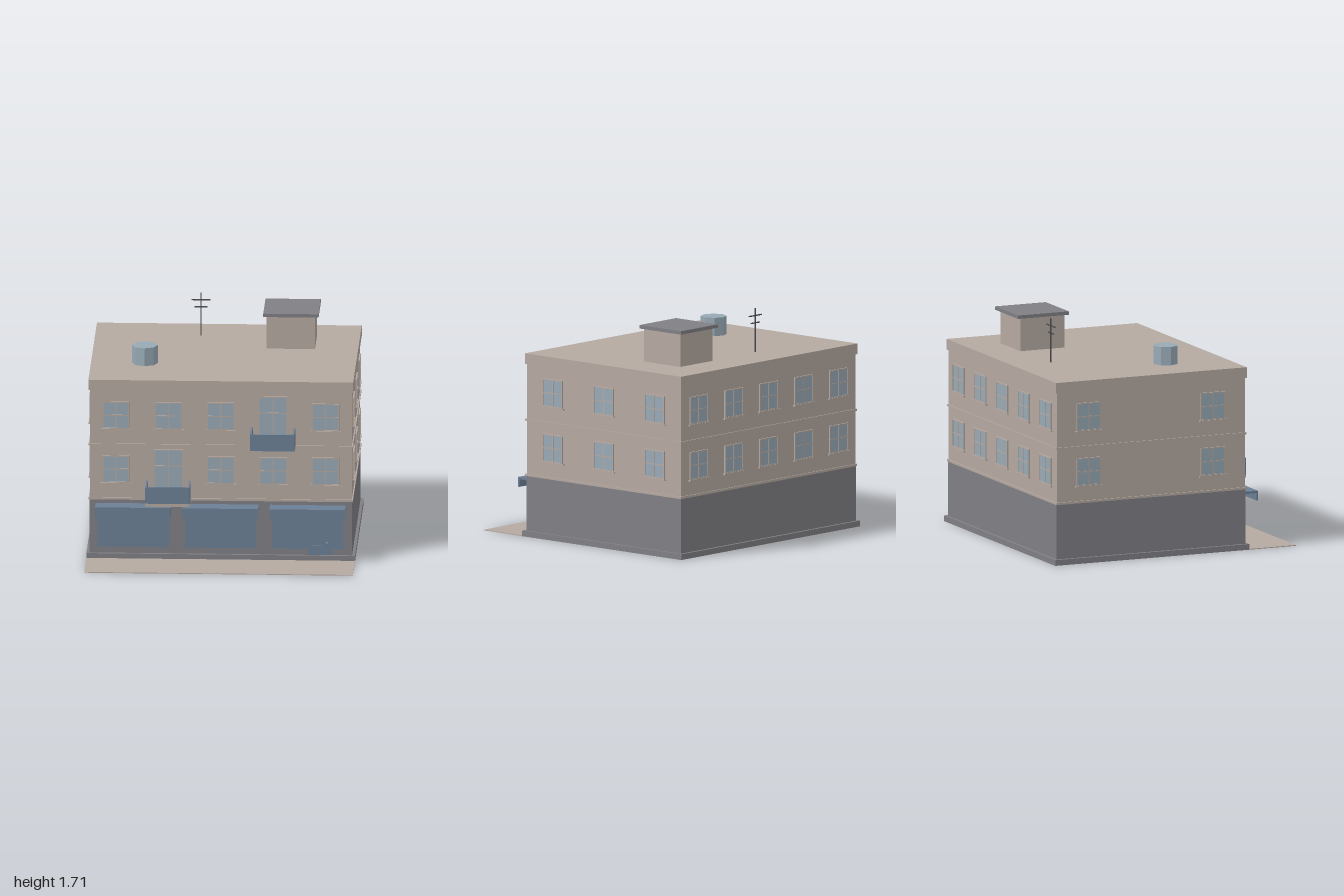
import * as THREE from 'three';

const mat = (name, color, side = THREE.FrontSide) => {
  const m = new THREE.MeshStandardMaterial({ color, side });
  m.name = name;
  return m;
};

export function createModel() {
  const plaster = mat('plaster', 0xb5a9a1);
  const stone = mat('grey stone', 0x807f84);
  const blue = mat('painted blue', 0x6b7f95);
  const glass = mat('pale blue glass', 0x98a9b5);
  const metal = mat('dark metal', 0x4b4b4e);

  const model = new THREE.Group();
  model.name = 'cornerBuilding';

  // Box given by its minimum and maximum on each axis
  const box = (name, material, [x0, x1], [y0, y1], [z0, z1], parent = model) => {
    const mesh = new THREE.Mesh(new THREE.BoxGeometry(x1 - x0, y1 - y0, z1 - z0), material);
    mesh.position.set((x0 + x1) / 2, (y0 + y1) / 2, (z0 + z1) / 2);
    mesh.name = name;
    parent.add(mesh);
    return mesh;
  };

  const FRONT = 0.578, BACK = -0.958, SIDE = 0.975;

  // Storey block that overhangs the walls by a given amount
  const storey = (name, material, y0, y1, out) =>
    box(name, material, [-SIDE - out, SIDE + out], [y0, y1], [BACK - out, FRONT + out]);

  // Main body
  storey('plinth', stone, 0, 0.043, 0.025);
  storey('groundFloor', stone, 0.043, 0.455, 0.003);
  storey('upperFloors', plaster, 0.455, 1.3, 0);
  storey('lowerBelt', plaster, 0.455, 0.472, 0.009);
  storey('upperBelt', plaster, 0.872, 0.887, 0.009);
  storey('parapet', plaster, 1.3, 1.38, 0.011);
  box('pavement', plaster, [-1, 1], [0, 0.006], [0.603, 0.985]);

  // Window or balcony door facing +z, its base at the group's origin
  const makeWindow = (name, w, h, barY, hasSill) => {
    const g = new THREE.Group();
    g.name = name;
    const r = w / 2, f = 0.008;
    box('pane', glass, [-r + f, r - f], [f, h - f], [-0.002, 0.006], g);
    for (const s of [-1, 1]) {
      const c = s * (r - f / 2);
      box('frameSide', plaster, [c - f / 2, c + f / 2], [0, h], [-0.002, 0.011], g);
    }
    for (const y of [0, h - f]) box('frameRail', plaster, [-r + f, r - f], [y, y + f], [-0.002, 0.011], g);
    box('upright', plaster, [-0.004, 0.004], [f, h - f], [-0.002, 0.009], g);
    box('crossBar', plaster, [-r + f, r - f], [barY - 0.004, barY + 0.004], [-0.002, 0.009], g);
    if (hasSill) box('sill', plaster, [-r - 0.011, r + 0.011], [-0.01, 0.001], [-0.002, 0.016], g);
    model.add(g);
    return g;
  };

  const columns = [-0.78, -0.39, 0, 0.39, 0.78];
  const floors = [0.585, 1.002];
  const doorColumn = [1, 3];
  floors.forEach((y, floor) => {
    columns.forEach((x, i) => {
      if (i !== doorColumn[floor]) makeWindow('frontWindow', 0.204, 0.21, 0.105, true).position.set(x, y, FRONT);
      const back = makeWindow('backWindow', 0.204, 0.21, 0.105, true);
      back.position.set(x, y, BACK);
      back.rotation.y = Math.PI;
    });
    for (const side of [-1, 1]) {
      for (const z of side > 0 ? [0.314, -0.193, -0.7] : [0.314, -0.7]) {
        const w = makeWindow(side > 0 ? 'leftWindow' : 'rightWindow', 0.196, 0.21, 0.105, true);
        w.position.set(side * SIDE, y, z);
        w.rotation.y = side * Math.PI / 2;
      }
    }

    // Balcony with its door
    const x = columns[doorColumn[floor]], base = 0.457 + floor * 0.416;
    makeWindow('balconyDoor', 0.216, 0.368, 0.24, false).position.set(x, base + 0.023, FRONT);
    const b = new THREE.Group();
    b.name = 'balcony';
    b.position.set(x, base, 0);
    model.add(b);
    const r = 0.166, t = 0.014, end = 0.778, rail = [0.023, 0.15];
    box('balconySlab', plaster, [-r, r], [0, 0.023], [FRONT, end], b);
    box('balconyFront', blue, [-r, r], rail, [end - t, end], b);
    box('balconySide', blue, [-r, -r + t], rail, [FRONT, end - t], b);
    box('balconySide', blue, [r - t, r], rail, [FRONT, end - t], b);
  });
  box('balconyBox', glass, [-0.328, -0.262], [0.48, 0.56], [0.605, 0.66]);

  // Shop fronts with awnings
  for (const x of [-0.65, 0, 0.648]) {
    box('shutter', blue, [x - 0.267, x + 0.267], [0.09, 0.41], [FRONT, 0.588]);
    box('awningTop', blue, [x - 0.282, x + 0.282], [0.41, 0.427], [FRONT, 0.706]);
    box('awningValance', blue, [x - 0.282, x + 0.282], [0.353, 0.41], [0.693, 0.706]);
  }
  // Painted panel low on the end shop
  box('lowPanel', blue, [0.655, 0.84], [0.045, 0.12], [0.582, 0.591]);
  box('panelKnob', plaster, [0.785, 0.795], [0.135, 0.145], [0.586, 0.592]);

  // Stair house on the roof
  box('stairHouse', plaster, [0.305, 0.665], [1.38, 1.63], [-0.675, -0.314]);
  box('stairHouseRoof', stone, [0.28, 0.692], [1.63, 1.656], [-0.705, -0.29]);

  // Eight-sided water tank
  const tankMaterial = glass.clone();
  tankMaterial.name = 'tank blue';
  tankMaterial.flatShading = true;
  const tank = new THREE.Mesh(new THREE.CylinderGeometry(0.097, 0.097, 0.138, 8), tankMaterial);
  tank.position.set(-0.585, 1.449, 0.107);
  tank.name = 'waterTank';
  model.add(tank);

  // Aerial
  const aerial = new THREE.Group();
  aerial.name = 'aerial';
  aerial.position.set(-0.197, 0, -0.653);
  model.add(aerial);
  box('mast', metal, [-0.004, 0.004], [1.38, 1.712], [-0.004, 0.004], aerial);
  box('upperArm', metal, [-0.07, 0.07], [1.652, 1.66], [-0.004, 0.004], aerial);
  box('lowerArm', metal, [-0.048, 0.048], [1.597, 1.605], [-0.004, 0.004], aerial);

  return model;
}
